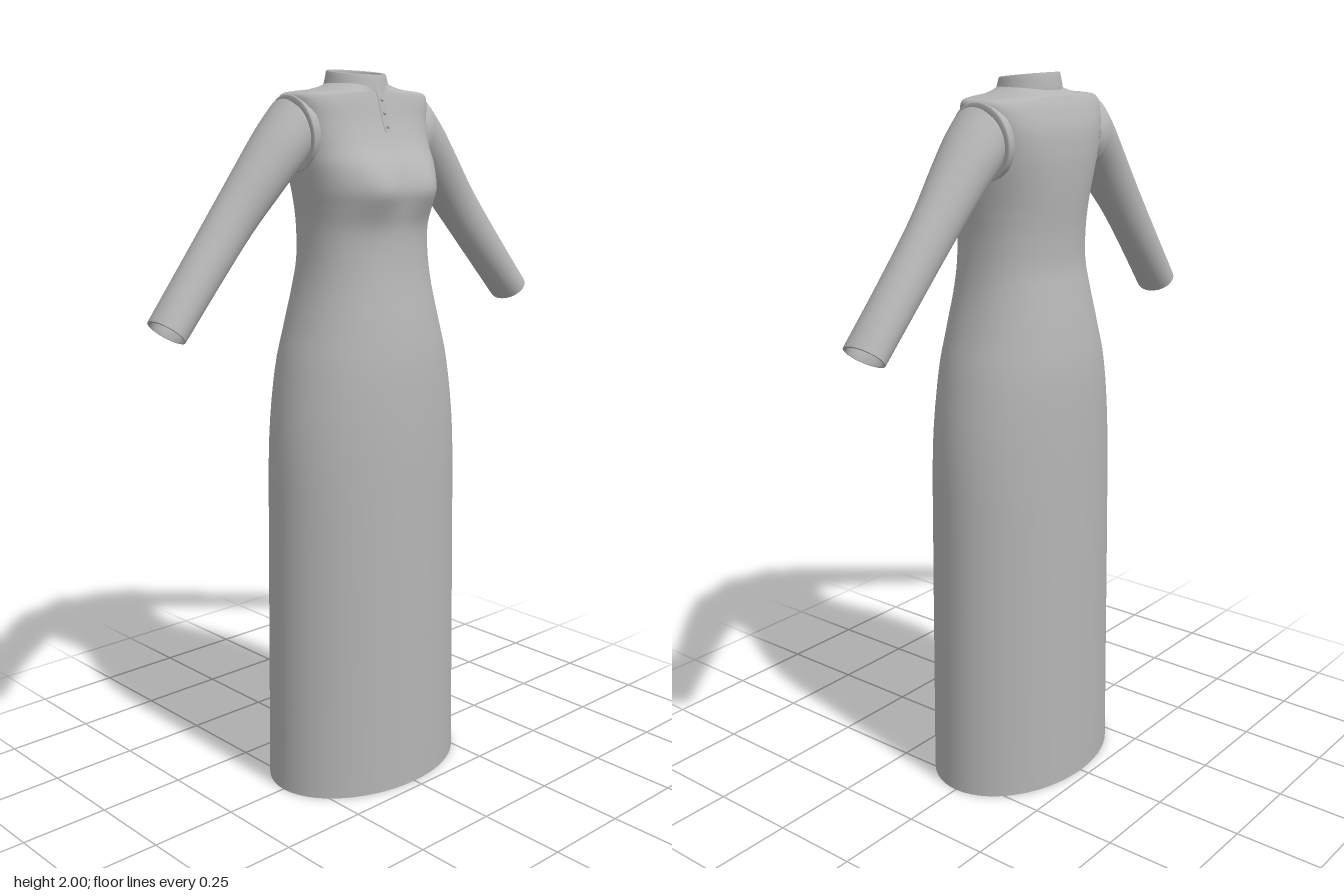
import * as THREE from 'three';

const SIDES = 56;

// Smooth interpolation through a list of number rows
function smoothRows(rows, steps) {
  const out = [];
  const at = (i) => rows[Math.min(Math.max(i, 0), rows.length - 1)];
  for (let i = 0; i < rows.length - 1; i++) {
    for (let s = 0; s < steps; s++) {
      const t = s / steps;
      out.push(rows[i].map((b, k) => {
        const a = at(i - 1)[k], c = at(i + 1)[k], d = at(i + 2)[k];
        return b + 0.5 * t * (c - a + t * (2 * a - 5 * b + 4 * c - d + t * (3 * (b - c) + d - a)));
      }));
    }
  }
  out.push(rows[rows.length - 1]);
  return out;
}

// Skin over closed rings of points, ordered bottom to top
function loft(rings) {
  const n = rings[0].length, index = [];
  for (let r = 0; r < rings.length - 1; r++) {
    for (let i = 0; i < n; i++) {
      const a = r * n + i, b = r * n + (i + 1) % n;
      index.push(a, a + n, b, b, a + n, b + n);
    }
  }
  const geo = new THREE.BufferGeometry();
  geo.setAttribute('position', new THREE.Float32BufferAttribute(rings.flat(2), 3));
  geo.setIndex(index);
  geo.computeVertexNormals();
  return geo;
}

const power = (v, n) => Math.sign(v) * Math.abs(v) ** (2 / n);

// Rounded outline: half width, front z, back z, squareness
function outline([y, w, front, back, n], rule = (p) => p) {
  const mid = (front + back) / 2, half = (front - back) / 2, ring = [];
  for (let i = 0; i < SIDES; i++) {
    const a = (i / SIDES) * Math.PI * 2;
    ring.push(rule([w * power(Math.cos(a), n), y, mid + half * power(Math.sin(a), n)]));
  }
  return ring;
}

// Two soft swells on the front of the bodice
function bust([x, y, z]) {
  if (z > 0) {
    const dx = (Math.abs(x) - 0.085) / 0.06, dy = (y - 1.69) / 0.07;
    z += 0.022 * Math.exp(-dx * dx - dy * dy) * Math.min(1, z / 0.08);
  }
  return [x, y, z];
}

// y, half width, front z, back z, squareness
const bodyRows = smoothRows([
  [0, 0.31, 0.222, -0.222, 2],
  [0.35, 0.305, 0.22, -0.22, 2],
  [0.7, 0.3, 0.218, -0.218, 2],
  [1.0, 0.294, 0.214, -0.214, 2],
  [1.2, 0.265, 0.203, -0.207, 2.05],
  [1.32, 0.232, 0.186, -0.19, 2.1],
  [1.42, 0.206, 0.167, -0.17, 2.15],
  [1.5, 0.193, 0.155, -0.154, 2.2],
  [1.58, 0.19, 0.152, -0.153, 2.25],
  [1.64, 0.195, 0.163, -0.157, 2.3],
  [1.69, 0.202, 0.17, -0.161, 2.4],
  [1.75, 0.209, 0.15, -0.164, 2.6],
  [1.8, 0.212, 0.118, -0.164, 2.8],
  [1.86, 0.22, 0.09, -0.158, 3],
  [1.91, 0.229, 0.074, -0.14, 3.2],
  [1.934, 0.226, 0.066, -0.127, 3],
  [1.942, 0.19, 0.063, -0.122, 2.7],
  [1.947, 0.14, 0.061, -0.115, 2.4],
  [1.957, 0.1, 0.058, -0.108, 2.1],
  [1.968, 0.078, 0.052, -0.102, 2],
], 4);

// Front surface depth on the centre line
function frontZ(y) {
  const i = Math.max(1, bodyRows.findIndex((r) => r[0] >= y));
  const a = bodyRows[i - 1], b = bodyRows[i];
  const z = THREE.MathUtils.mapLinear(y, a[0], b[0], a[2], b[2]);
  return bust([0, y, z])[2];
}

// Ring through an upper and a lower point, spanning front to back
function sleeveRing([tx, ty, bx, by, front, back], side) {
  const ring = [];
  for (let i = 0; i < 36; i++) {
    const a = (i / 36) * Math.PI * 2 * side, c = Math.cos(a) / 2;
    ring.push([
      side * ((tx + bx) / 2 + c * (tx - bx)),
      (ty + by) / 2 + c * (ty - by),
      (front + back) / 2 + Math.sin(a) * (front - back) / 2,
    ]);
  }
  return ring;
}

export function createModel() {
  const group = new THREE.Group();
  const cloth = new THREE.MeshStandardMaterial({ color: 0xb4b4b4, side: THREE.DoubleSide });
  cloth.name = 'greyCloth';
  const add = (name, geo, parent = group) => {
    const mesh = new THREE.Mesh(geo, cloth);
    mesh.name = name;
    parent.add(mesh);
    return mesh;
  };

  // Long gown from hem to neckline
  add('gown', loft(bodyRows.map((r) => outline(r, bust))));

  // Folded hem
  add('hem', loft([
    outline([0.04, 0.3, 0.212, -0.212, 2]),
    outline([0, 0.3, 0.212, -0.212, 2]),
    outline([0, 0.31, 0.222, -0.222, 2]),
  ]));

  // Standing collar, lower at the front, with a rolled top edge
  const tilt = ([x, y, z]) => [x, y - 0.1 * (z + 0.1), z];
  add('collar', loft([
    [1.955, 0.09, 0.066, -0.112, 2],
    [1.965, 0.088, 0.064, -0.112, 2],
    [1.985, 0.083, 0.059, -0.108, 2],
    [1.997, 0.081, 0.056, -0.106, 2],
    [2.0, 0.078, 0.053, -0.103, 2],
    [1.996, 0.074, 0.049, -0.099, 2],
    [1.96, 0.076, 0.05, -0.1, 2],
  ].map((r) => outline(r, tilt))));

  // Short button placket lying on the chest
  const placket = new THREE.Group();
  placket.name = 'placket';
  group.add(placket);
  const strip = [];
  for (let i = 0; i <= 8; i++) {
    const y = 1.835 + i * 0.0138, z = frontZ(y);
    strip.push([[-0.011, y, z - 0.004], [-0.01, y, z + 0.004], [0.01, y, z + 0.004], [0.011, y, z - 0.004]]);
  }
  add('placketStrip', loft(strip), placket);
  for (const y of [1.85, 1.885, 1.92]) {
    const button = add('button', new THREE.SphereGeometry(0.005, 12, 8), placket);
    button.position.set(0, y, frontZ(y) + 0.005);
  }

  // Sleeves: upper x, upper y, lower x, lower y, front z, back z
  const arm = smoothRows([
    [0.246, 1.922, 0.222, 1.738, 0.05, -0.127],
    [0.3, 1.866, 0.24, 1.72, 0.046, -0.122],
    [0.36, 1.795, 0.285, 1.672, 0.036, -0.112],
    [0.46, 1.668, 0.374, 1.577, 0.021, -0.099],
    [0.57, 1.529, 0.49, 1.45, 0.026, -0.091],
    [0.68, 1.39, 0.605, 1.325, 0.037, -0.085],
  ], 5);
  const cuff = [
    [0.68, 1.39, 0.605, 1.325, 0.037, -0.085],
    [0.674, 1.385, 0.611, 1.33, 0.03, -0.078],
    [0.654, 1.409, 0.591, 1.354, 0.03, -0.078],
  ];
  // Narrow recessed seam between sleeve and armhole
  const seam = [
    [0.2, 1.915, 0.185, 1.75, 0.043, -0.12],
    [0.236, 1.915, 0.214, 1.748, 0.043, -0.12],
    [0.246, 1.922, 0.222, 1.738, 0.05, -0.127],
  ];
  // Raised piping round the armhole
  const piping = [
    [0.205, 1.93, 0.19, 1.735, 0.056, -0.133],
    [0.23, 1.934, 0.208, 1.732, 0.058, -0.135],
    [0.234, 1.93, 0.212, 1.736, 0.054, -0.131],
    [0.232, 1.915, 0.21, 1.748, 0.043, -0.12],
  ];
  for (const side of [1, -1]) {
    const sleeve = new THREE.Group();
    sleeve.name = side > 0 ? 'leftSleeve' : 'rightSleeve';
    group.add(sleeve);
    const parts = { sleeveTube: arm, cuffEdge: cuff, sleeveSeam: seam, armholePiping: piping };
    for (const [name, rows] of Object.entries(parts)) {
      add(name, loft(rows.map((r) => sleeveRing(r, side))), sleeve);
    }
  }
  return group;
}
